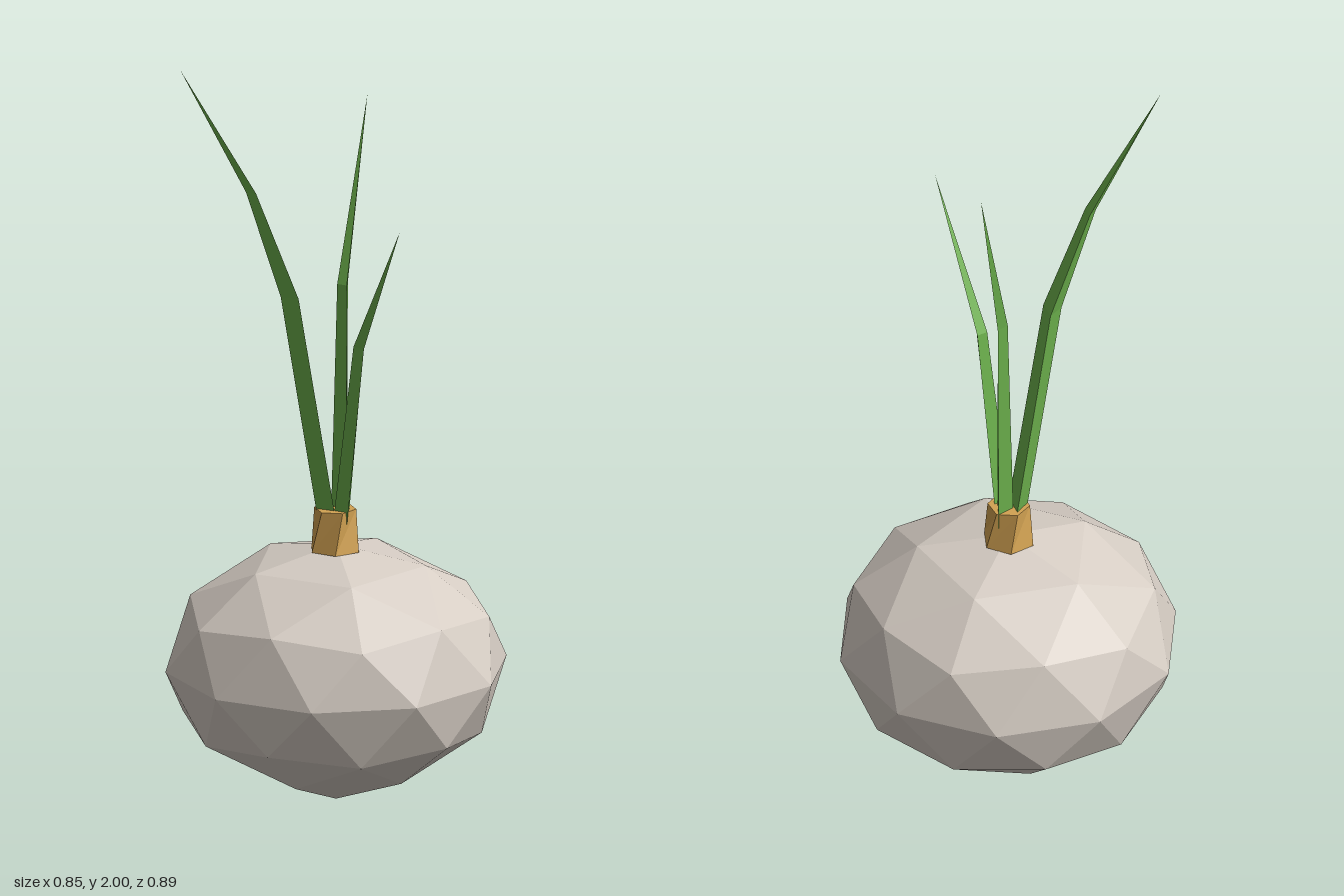
import * as THREE from 'three';

function flat(name, color) {
  const m = new THREE.MeshStandardMaterial({ color, flatShading: true });
  m.name = name;
  return m;
}

// Three-sided blade: rings are [x, y, z, width, thickness], keel facing the lean direction
function bladeGeometry(rings, tip) {
  const d = new THREE.Vector2(tip[0] - rings[0][0], tip[2] - rings[0][2]).normalize();
  const pos = [], index = [];
  for (const [x, y, z, w, t] of rings) {
    for (const [out, side] of [[t * 0.6, 0], [-t * 0.4, -w / 2], [-t * 0.4, w / 2]]) {
      pos.push(x + d.x * out - d.y * side, y, z + d.y * out + d.x * side);
    }
  }
  pos.push(...tip);
  const last = rings.length - 1;
  for (let r = 0; r <= last; r++) {
    for (let i = 0; i < 3; i++) {
      const a = r * 3 + i, b = r * 3 + (i + 1) % 3;
      if (r < last) index.push(a, b, b + 3, a, b + 3, a + 3);
      else index.push(a, b, pos.length / 3 - 1);
    }
  }
  index.push(0, 2, 1);
  const g = new THREE.BufferGeometry();
  g.setAttribute('position', new THREE.Float32BufferAttribute(pos, 3));
  g.setIndex(index);
  g.computeVertexNormals();
  return g;
}

export function createModel() {
  const group = new THREE.Group();
  const skin = flat('bulb skin', 0xd6cdc4);
  const straw = flat('dry neck', 0xd2a252);
  const green = flat('leaf green', 0x6cb04c);
  const add = (name, geometry, material) => {
    const mesh = new THREE.Mesh(geometry, material);
    mesh.name = name;
    group.add(mesh);
  };

  // Bulb: squashed icosphere standing on a vertex, bottom pole drawn to a point
  const bulb = new THREE.IcosahedronGeometry(1, 1);
  bulb.rotateZ(-Math.atan(2 / (1 + Math.sqrt(5))));
  bulb.scale(0.447, 0.323, 0.447);
  bulb.translate(0, 0.365, 0);
  const bp = bulb.attributes.position;
  for (let i = 0; i < bp.count; i++) if (bp.getY(i) < 0.06) bp.setY(i, 0);
  bulb.computeVertexNormals();
  add('bulb', bulb, skin);

  // Neck: tapered six-sided collar, twisted a little towards the top
  const neck = new THREE.CylinderGeometry(0.055, 0.07, 0.11, 6);
  const np = neck.attributes.position;
  for (let i = 0; i < np.count; i++) {
    const a = np.getY(i) > 0 ? 0.5 : 0.15;
    const x = np.getX(i), z = np.getZ(i);
    np.setX(i, x * Math.cos(a) + z * Math.sin(a));
    np.setZ(i, z * Math.cos(a) - x * Math.sin(a));
  }
  neck.translate(-0.002, 0.73, 0);
  neck.computeVertexNormals();
  add('neck', neck, straw);

  // Leaves
  add('tallLeaf', bladeGeometry([
    [-0.022, 0.74, -0.002, 0.065, 0.04],
    [-0.112, 1.37, 0.06, 0.055, 0.04],
    [-0.208, 1.66, 0.098, 0.035, 0.022],
  ], [-0.385, 2, 0.155]), green);
  add('backLeaf', bladeGeometry([
    [0.012, 0.74, -0.022, 0.045, 0.045],
    [0.016, 1.38, -0.04, 0.028, 0.032],
  ], [0.06, 1.86, -0.153]), green);
  add('frontLeaf', bladeGeometry([
    [0.02, 0.74, 0.014, 0.045, 0.035],
    [0.08, 1.255, 0.107, 0.03, 0.03],
  ], [0.207, 1.625, 0.277]), green);

  return group;
}
